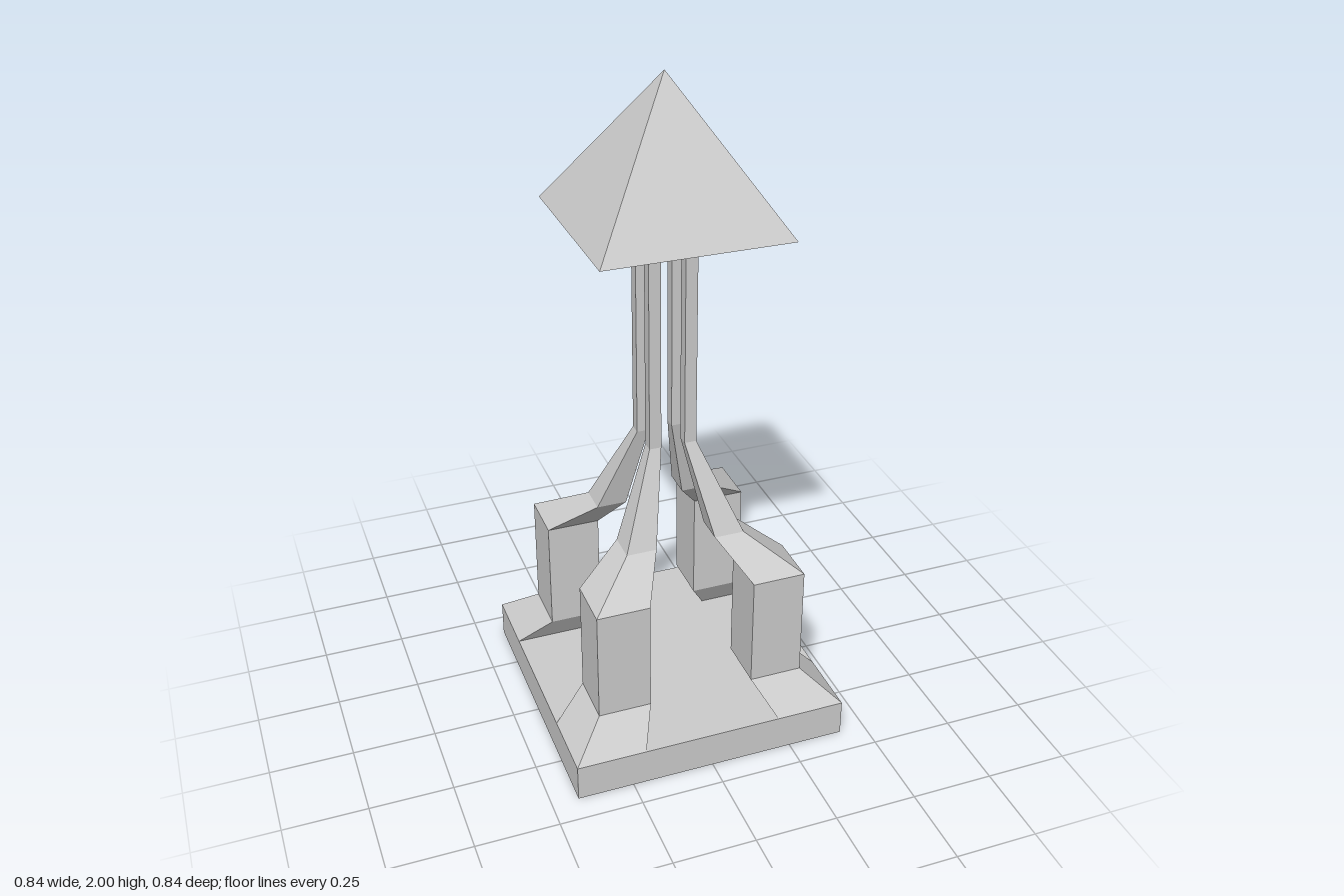
import * as THREE from 'three';

const material = new THREE.MeshStandardMaterial({ color: 0xcccccc, flatShading: true });

// Lofts square sections [y, lo, hi], each spanning lo..hi in both x and z, and caps both ends
function loft(name, sections) {
  const rings = sections.map(([y, lo, hi]) =>
    [[lo, hi], [hi, hi], [hi, lo], [lo, lo]].map(([x, z]) => new THREE.Vector3(x, y, z)));
  const points = [];
  const triangle = (a, b, c) => {
    if (!a.equals(b) && !b.equals(c) && !c.equals(a)) points.push(a, b, c);
  };
  const quad = (a, b, c, d) => {
    triangle(a, b, c);
    triangle(a, c, d);
  };
  quad(...[...rings[0]].reverse());
  for (let i = 0; i < rings.length - 1; i++) {
    for (let j = 0; j < 4; j++) {
      const k = (j + 1) % 4;
      quad(rings[i][j], rings[i][k], rings[i + 1][k], rings[i + 1][j]);
    }
  }
  quad(...rings[rings.length - 1]);

  const geometry = new THREE.BufferGeometry().setFromPoints(points);
  geometry.computeVertexNormals();
  const mesh = new THREE.Mesh(geometry, material);
  mesh.name = name;
  return mesh;
}

export function createModel() {
  const model = new THREE.Group();
  model.name = 'tower';

  // Square slab
  model.add(loft('base', [[0, -0.42, 0.42], [0.113, -0.42, 0.42]]));

  // Four corner legs: flared foot, block, sloping shoulder, slender column
  const legProfile = [
    [0.113, 0.21, 0.42],
    [0.2, 0.16, 0.32],
    [0.548, 0.16, 0.32],
    [0.643, 0.091, 0.182],
    [0.915, 0.036, 0.072],
    [1.65, 0.036, 0.072],
  ];
  for (let i = 0; i < 4; i++) {
    const leg = loft('leg', legProfile);
    leg.rotation.y = (i * Math.PI) / 2;
    model.add(leg);
  }

  // Pyramid roof with a recessed underside
  model.add(loft('roof', [[1.65, -0.14, 0.14], [1.588, -0.274, 0.274], [2, 0, 0]]));

  return model;
}
